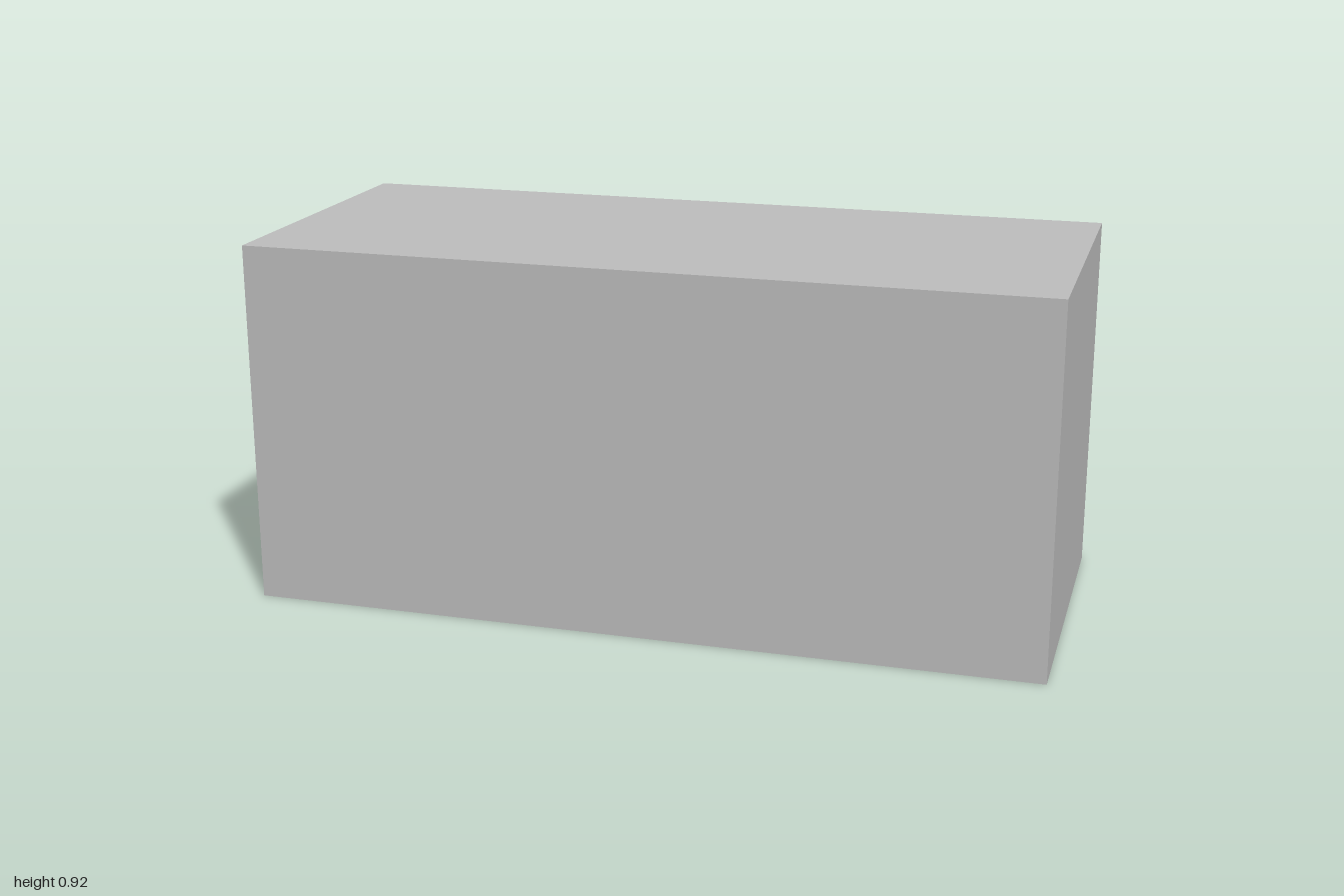
import * as THREE from 'three';

export function createModel() {
  const model = new THREE.Group();
  model.name = 'counter';
  const grey = new THREE.MeshStandardMaterial({ color: 0xbfbfbf });
  grey.name = 'grey';

  const W = 2, H = 0.92, D = 0.85;   // overall size
  const T = 0.035;                   // panel thickness
  const TOP = 0.04;                  // top thickness
  const BASE = 0.475;                // height of the solid lower body
  const inner = W - 2 * T;

  // Box given by its lower and upper corners
  function box(name, [x0, y0, z0], [x1, y1, z1]) {
    const g = new THREE.BoxGeometry(x1 - x0, y1 - y0, z1 - z0);
    g.translate((x0 + x1) / 2, (y0 + y1) / 2, (z0 + z1) / 2);
    const mesh = new THREE.Mesh(g, grey);
    mesh.name = name;
    model.add(mesh);
  }

  // Closed lower body and worktop
  box('lowerBody', [-W / 2, 0, -D / 2], [W / 2, BASE, D / 2]);
  box('worktop', [-W / 2, H - TOP, -D / 2], [W / 2, H, D / 2]);

  // Panels around the compartment, which is open at the back
  box('frontPanel', [-W / 2, BASE, D / 2 - T], [W / 2, H - TOP, D / 2]);
  box('rightSidePanel', [-W / 2, BASE, -D / 2], [-inner / 2, H - TOP, D / 2 - T]);
  box('leftSidePanel', [inner / 2, BASE, -D / 2], [W / 2, H - TOP, D / 2 - T]);

  // Shelf set back from the opening
  box('shelf', [-inner / 2, 0.672, -D / 2 + 0.065], [inner / 2, 0.697, D / 2 - T]);

  return model;
}
